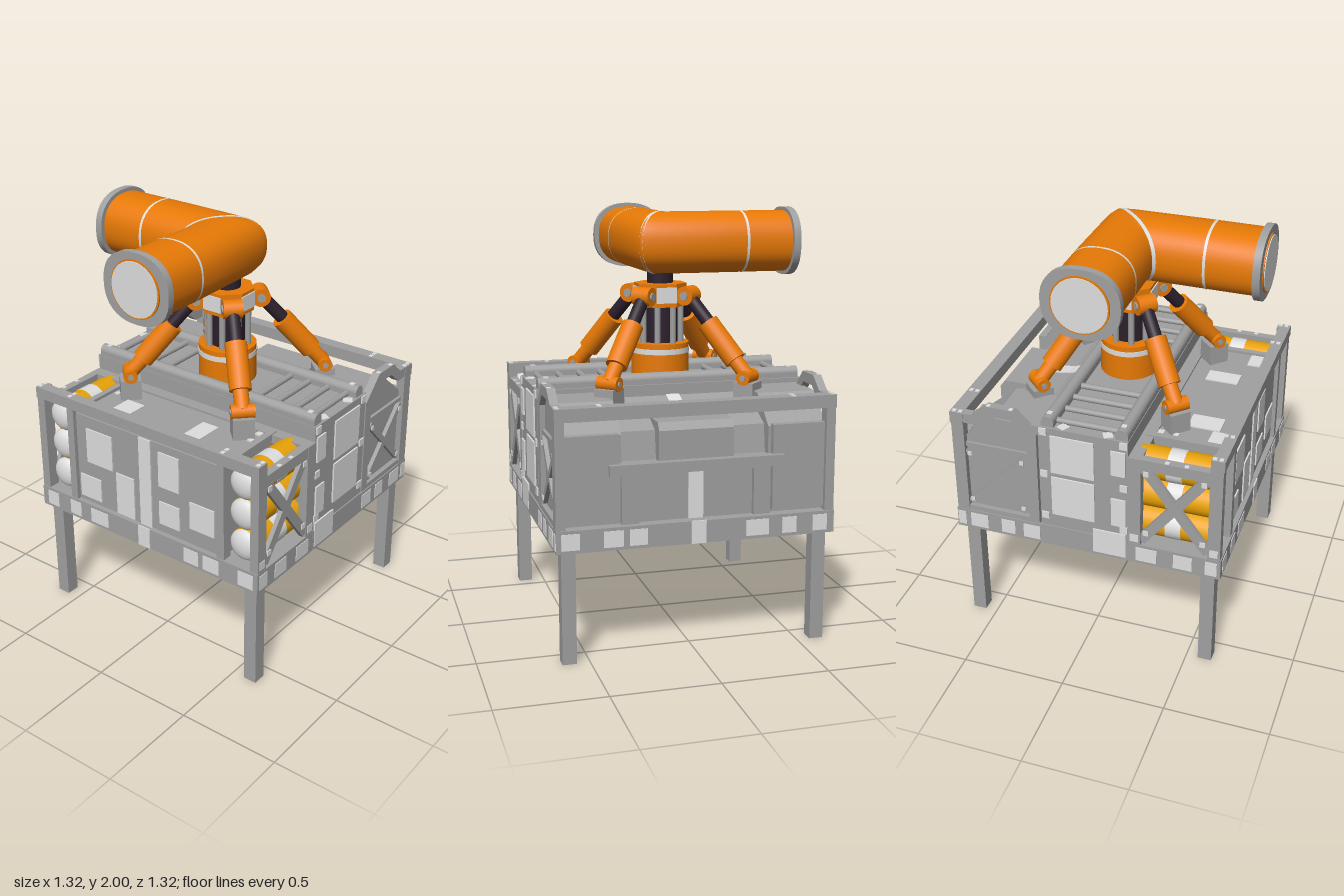
import * as THREE from 'three';
import { toCreasedNormals } from 'three/addons/utils/BufferGeometryUtils.js';

const paint = (name, color) => Object.assign(new THREE.MeshStandardMaterial({ color }), { name });
const grey = paint('steel grey', 0xa0a0a0), light = paint('light panel grey', 0xdedede);
const orange = paint('orange', 0xe87a06), gold = paint('gold', 0xe8a208);
const dark = paint('dark piston', 0x2c202c);
const V = (x, y, z) => new THREE.Vector3(x, y, z);

export function createModel() {
  const root = new THREE.Group();
  root.name = 'platform';
  const put = (name, geo, mat, parent = root) => {
    const m = new THREE.Mesh(geo, mat);
    m.name = name;
    parent.add(m);
    return m;
  };
  // box from its limits
  const box = (name, mat, x0, x1, y0, y1, z0, z1, parent) => {
    const m = put(name, new THREE.BoxGeometry(x1 - x0, y1 - y0, z1 - z0), mat, parent);
    m.position.set((x0 + x1) / 2, (y0 + y1) / 2, (z0 + z1) / 2);
    return m;
  };
  // the same box at front and back
  const pair = (name, mat, x0, x1, y0, y1, z0, z1) => {
    box(name, mat, x0, x1, y0, y1, z0, z1);
    box(name, mat, x0, x1, y0, y1, -z1, -z0);
  };
  const aim = (m, a, b) => {
    m.position.copy(a).add(b).multiplyScalar(0.5);
    m.quaternion.setFromUnitVectors(V(0, 1, 0), b.clone().sub(a).normalize());
    return m;
  };
  const rod = (name, mat, a, b, r, n = 20) => aim(put(name, new THREE.CylinderGeometry(r, r, a.distanceTo(b), n), mat), a, b);
  const bar = (name, mat, a, b, w, d) => aim(put(name, new THREE.BoxGeometry(w, a.distanceTo(b), d), mat), a, b);
  // profile in x,y extruded along z
  const prism = (name, mat, pts, z0, z1) => {
    const s = new THREE.Shape(pts.map(p => new THREE.Vector2(...p)));
    put(name, new THREE.ExtrudeGeometry(s, { depth: z1 - z0, bevelEnabled: false }), mat).position.z = z0;
  };

  // legs and base frame
  for (const x of [-0.59, 0.59]) for (const z of [-0.595, 0.595])
    box('leg', grey, x - 0.033, x + 0.033, 0, 0.6, z - 0.033, z + 0.033);
  pair('baseBeam', grey, -0.655, 0.655, 0.53, 0.635, 0.565, 0.655);
  for (const s of [-1, 1]) {
    box('baseSideBeam', grey, s * 0.61 - 0.045, s * 0.61 + 0.045, 0.53, 0.635, -0.565, 0.565);
    box('baseStripe', light, s * 0.656 - 0.003, s * 0.656 + 0.003, 0.53, 0.637, -0.035, 0.035);
  }
  box('floor', grey, -0.57, 0.57, 0.61, 0.63, -0.57, 0.57);
  box('floorBeam', grey, -0.04, 0.04, 0.545, 0.615, -0.57, 0.57);
  box('floorBeam', grey, -0.57, 0.57, 0.545, 0.615, -0.04, 0.04);
  // four dished panels underneath, each in a raised frame
  for (const x of [-0.29, 0.29]) for (const z of [-0.29, 0.29]) {
    const dish = new THREE.PlaneGeometry(0.44, 0.44, 10, 10).rotateX(Math.PI / 2), p = dish.attributes.position;
    for (let i = 0; i < p.count; i++)
      p.setY(i, 0.04 * Math.cos(p.getX(i) * Math.PI / 0.44) * Math.cos(p.getZ(i) * Math.PI / 0.44));
    dish.computeVertexNormals();
    put('floorPanel', dish, light).position.set(x, 0.567, z);
    for (const s of [-1, 1]) {
      box('panelFrame', grey, x - 0.235, x + 0.235, 0.56, 0.612, z + s * 0.225 - 0.01, z + s * 0.225 + 0.01);
      box('panelFrame', grey, x + s * 0.225 - 0.01, x + s * 0.225 + 0.01, 0.56, 0.612, z - 0.235, z + 0.235);
    }
  }
  for (const [p, h] of [[-0.61, 0.028], [-0.475, 0.045], [-0.3, 0.05], [0.27, 0.042], [0.39, 0.035], [0.54, 0.045], [0.63, 0.02]])
    pair('baseMark', light, p - h, p + h, 0.545, 0.62, 0.652, 0.658);
  for (const [p, h] of [[0.59, 0.042], [0.395, 0.045], [0.28, 0.042], [-0.28, 0.055], [-0.435, 0.035], [-0.585, 0.035]])
    for (const s of [-1, 1]) box('baseMark', light, s * 0.655 - 0.003, s * 0.655 + 0.003, 0.545, 0.62, p - h, p + h);

  // central spine with panels, rails and ladders
  box('spine', grey, -0.21, 0.22, 0.55, 1.185, -0.65, 0.65);
  pair('spineFoot', grey, -0.21, 0.22, 0.535, 0.64, 0.64, 0.656);
  const panels = [[-0.2, -0.13, 1.0, 1.13], [-0.05, 0.16, 0.95, 1.15], [-0.05, 0.16, 0.715, 0.925],
    [-0.2, -0.13, 0.72, 0.87], [-0.2, -0.04, 0.545, 0.675]];
  for (const [a, b, c, d] of panels) pair('spinePanel', light, a, b, c, d, 0.651, 0.659);
  for (const x of [-0.19, 0.195]) for (const y of [0.7, 0.935, 1.165])
    pair('spineStud', light, x - 0.018, x + 0.018, y - 0.018, y + 0.018, 0.651, 0.658);
  for (const x of [-0.177, 0.177]) {
    rod('deckRail', grey, V(x, 1.207, -0.64), V(x, 1.207, 0.64), 0.03);
    box('deckRailBase', grey, x - 0.03, x + 0.03, 1.18, 1.205, -0.64, 0.64);
    for (const z of [-0.6, 0.6]) {
      box('railMark', light, x - 0.012, x + 0.012, 1.234, 1.239, z - 0.012, z + 0.012);
      const mark = box('spineTopMark', light, -0.022, 0.022, 1.183, 1.189, -0.022, 0.022);
      mark.position.set(x * 0.6, 1.186, z * 1.035);
      mark.rotation.y = x * z > 0 ? 0.5 : -0.5;
    }
  }
  for (const z of [0.27, 0.375, 0.48, 0.585]) for (const s of [-1, 1])
    rod('ladderRung', grey, V(-0.15, 1.195, s * z), V(0.15, 1.195, s * z), 0.015, 10);

  // right side: deck block, wall panels and tank bays
  box('rightDeck', grey, -0.63, -0.2, 0.6, 1.1, -0.44, 0.44);
  pair('bayDivider', grey, -0.6, -0.23, 1.08, 1.115, 0.425, 0.455);
  box('deckEdge', grey, -0.27, -0.2, 1.07, 1.11, -0.64, 0.64);
  box('wallStripe', light, -0.637, -0.629, 0.63, 1.1, -0.035, 0.035);
  for (const [z0, z1, y0, y1] of [[0.08, 0.2, 0.88, 1.06], [0.08, 0.2, 0.68, 0.8], [0.26, 0.4, 0.72, 0.86],
    [-0.18, -0.07, 0.64, 0.86], [-0.36, -0.2, 0.86, 1.04], [-0.41, -0.28, 0.66, 0.78]])
    box('wallPanel', light, -0.637, -0.629, y0, y1, z0, z1);
  for (const [x0, x1, z0, z1] of [[-0.59, -0.51, 0.32, 0.42], [-0.59, -0.51, -0.42, -0.32],
    [-0.54, -0.385, -0.31, -0.205], [-0.51, -0.35, 0.12, 0.21], [-0.37, -0.345, -0.41, -0.385], [-0.37, -0.345, 0.385, 0.41],
    [-0.3, -0.27, -0.41, -0.38], [-0.3, -0.27, 0.38, 0.41]])
    box('deckPanel', light, x0, x1, 1.1, 1.106, z0, z1);
  box('rightTopRail', grey, -0.655, -0.6, 1.125, 1.18, -0.655, 0.655);
  for (const s of [-1, 1]) {
    for (const y of [0.72, 0.88, 1.035]) {
      rod('tank', gold, V(-0.59, y, s * 0.54), V(-0.24, y, s * 0.54), 0.077, 28);
      rod('tankBand', light, V(-0.45, y, s * 0.54), V(-0.375, y, s * 0.54), 0.079, 28);
      const cap = put('tankCap', new THREE.SphereGeometry(0.077, 20, 12), light);
      cap.position.set(-0.59, y, s * 0.54);
      cap.scale.x = 0.5;
    }
    for (const [a, b] of [[-0.65, -0.59], [-0.27, -0.21]])
      box('bayPost', grey, a, b, 0.62, a < -0.5 ? 1.18 : 1.11, s * 0.632 - 0.022, s * 0.632 + 0.022);
    box('bayPost', grey, -0.65, -0.6, 0.62, 1.13, s * 0.445 - 0.02, s * 0.445 + 0.02);
    box('bayTopBar', grey, -0.65, -0.21, 1.055, 1.11, s * 0.632 - 0.02, s * 0.632 + 0.02);
    for (const d of [-1, 1]) {
      const z = s * 0.64;
      bar('bayBrace', grey, V(-0.43 - d * 0.16, 0.66, z), V(-0.43 + d * 0.16, 1.08, z), 0.048, 0.022);
      for (const y of [0.695, 1.025]) box('bayStud', light, -0.43 + d * 0.135 - 0.013, -0.43 + d * 0.135 + 0.013, y, y + 0.026, s * 0.653 - 0.003, s * 0.653 + 0.003);
      box('bayMark', light, -0.43 + d * 0.19 - 0.02, -0.43 + d * 0.19 + 0.02, 0.65, 0.69, s * 0.654 - 0.003, s * 0.654 + 0.003);
    }
  }

  // left side: sloped centre, corner lockers, bumper and guard rails
  prism('leftDeck', grey, [[0.2, 0.6], [0.6, 0.6], [0.6, 0.91], [0.56, 0.91], [0.54, 1.04], [0.45, 1.08], [0.3, 1.1], [0.2, 1.14]], -0.35, 0.35);
  prism('leftHatch', grey, [[0.44, 0.91], [0.615, 0.91], [0.615, 1.05], [0.59, 1.085], [0.44, 1.085]], -0.175, 0.175);
  box('leftBumper', grey, 0.605, 0.655, 0.865, 0.915, -0.41, 0.41);
  box('leftStripe', light, 0.599, 0.606, 0.63, 0.865, -0.035, 0.035);
  bar('deckStripe', light, V(0.3, 1.103, 0), V(0.45, 1.083, 0), 0.006, 0.065);
  bar('deckStripe', light, V(0.2, 1.142, 0), V(0.3, 1.102, 0), 0.006, 0.065);
  for (const z of [-0.31, 0.31]) box('leftPanelFrame', grey, 0.59, 0.625, 0.635, 0.9, z - 0.04, z + 0.04);
  box('leftTopRail', grey, 0.59, 0.655, 1.12, 1.18, -0.655, 0.655);
  for (const s of [-1, 1]) {
    const z0 = s > 0 ? 0.345 : -0.625;
    prism('cornerLocker', grey, [[0.22, 0.62], [0.6, 0.62], [0.6, 1.04], [0.45, 1.165], [0.23, 1.165]], z0, z0 + 0.28);
    box('lockerDoor', grey, 0.59, 0.628, 0.65, 1.05, z0 + 0.015, z0 + 0.265);
    box('cornerPost', grey, 0.59, 0.65, 0.62, 1.13, s * 0.632 - 0.022, s * 0.632 + 0.022);
    box('lockerPost', grey, 0.23, 0.28, 0.64, 1.13, s * 0.632 - 0.018, s * 0.632 + 0.018);
    box('lockerSill', grey, 0.23, 0.6, 0.635, 0.66, s * 0.632 - 0.018, s * 0.632 + 0.018);
    box('lockerHeader', grey, 0.28, 0.6, 0.995, 1.015, s * 0.628 - 0.012, s * 0.628 + 0.012);
    for (const d of [-1, 1]) {
      bar('lockerBrace', grey, V(0.44 - d * 0.145, 0.68, s * 0.635), V(0.44 + d * 0.145, 0.98, s * 0.635), 0.03, 0.02);
      for (const y of [0.69, 0.95]) box('lockerStud', light, 0.43 + d * 0.13, 0.45 + d * 0.13, y, y + 0.02, s * 0.647 - 0.003, s * 0.647 + 0.003);
    }
    prism('guardHump', grey, [[0.23, 1.13], [0.3, 1.2], [0.34, 1.24], [0.47, 1.24], [0.545, 1.18], [0.65, 1.18],
      [0.65, 1.13], [0.53, 1.13], [0.455, 1.19], [0.35, 1.19], [0.29, 1.13]], s * 0.632 - 0.02, s * 0.632 + 0.02);
    for (const x of [0.35, 0.46]) box('humpStud', light, x - 0.01, x + 0.01, 1.237, 1.243, s * 0.64 - 0.01, s * 0.64 + 0.01);
    for (const x of [-0.48, -0.39]) box('barStud', light, x - 0.01, x + 0.01, 1.107, 1.113, s * 0.64 - 0.01, s * 0.64 + 0.01);
  }
  for (const x of [-0.635, -0.605, 0.605, 0.635]) for (const z of [-0.64, -0.45, 0.45, 0.64])
    box('railStud', light, x - 0.01, x + 0.01, 1.178, 1.184, z - 0.01, z + 0.01);

  // turret column
  rod('turretBase', orange, V(0, 1.18, 0), V(0, 1.36, 0), 0.14, 32);
  rod('turretBand', light, V(0, 1.31, 0), V(0, 1.335, 0), 0.143, 32);
  rod('turretCore', dark, V(0, 1.35, 0), V(0, 1.71, 0), 0.062, 24);
  rod('turretSleeve', dark, V(0, 1.35, 0), V(0, 1.56, 0), 0.085, 24);
  for (let i = 0; i < 8; i++) {
    const a = (i + 0.5) * Math.PI / 4, x = 0.1 * Math.cos(a), z = 0.1 * Math.sin(a);
    rod('columnRod', grey, V(x, 1.35, z), V(x, 1.55, z), 0.015, 10);
  }
  const collar = put('collar', new THREE.CylinderGeometry(0.128, 0.128, 0.11, 8).toNonIndexed(), orange);
  collar.geometry.computeVertexNormals();
  collar.position.y = 1.59;
  collar.rotation.y = Math.PI / 8;
  for (let i = 0; i < 4; i++) {
    const side = new THREE.Group();
    side.name = 'collarSide';
    side.rotation.y = i * Math.PI / 2;
    root.add(side);
    box('collarPanel', light, -0.05, 0.05, 1.555, 1.63, 0.117, 0.124, side);
  }

  // four stabilising struts
  for (const x of [-1, 1]) for (const z of [-1, 1]) {
    const at = (d, y) => V(x * d, y, z * d), side = V(x, 0, -z).normalize();
    const pin = (name, mat, c, r, h) => rod(name, mat, c.clone().addScaledVector(side, -h), c.clone().addScaledVector(side, h), r);
    pin('upperHinge', orange, at(0.11, 1.59), 0.045, 0.045);
    pin('upperPin', grey, at(0.11, 1.59), 0.02, 0.052);
    rod('piston', dark, at(0.11, 1.59), at(0.23, 1.4), 0.032);
    rod('strutSleeve', orange, at(0.185, 1.465), at(0.29, 1.295), 0.052);
    rod('strutEnd', orange, at(0.28, 1.31), at(0.335, 1.225), 0.036);
    pin('lowerHinge', orange, at(0.335, 1.222), 0.034, 0.055);
    pin('lowerPin', grey, at(0.335, 1.222), 0.014, 0.06);
    const foot = box('strutFoot', grey, -0.05, 0.05, 1.06, 1.2, -0.05, 0.05);
    foot.position.set(x * 0.335, 1.13, z * 0.335);
    foot.rotation.y = Math.PI / 4;
  }

  // mitred elbow tube, built from rings running from one end to the other
  const Y = 1.835, N = 40;
  const pow = c => Math.sign(c) * Math.abs(c) ** 0.85;
  const ring = (hx, hy) => Array.from({ length: N }, (_, i) => {
    const a = i / N * Math.PI * 2;
    return [hx * pow(Math.cos(a)), hy * pow(Math.sin(a))];
  });
  const skin = (name, mat, sections, grow = 1) => {
    const pos = [], idx = [], pts = ring(0.16 * grow, 0.148 * grow);
    sections.forEach((f, i) => pts.forEach(([u, v], j) => {
      const [x, z] = f(u);
      pos.push(x, Y + v, z);
      if (i === sections.length - 1) return;
      const a = i * N + j, b = i * N + (j + 1) % N;
      idx.push(a, a + N, b, b, a + N, b + N);
    }));
    const g = new THREE.BufferGeometry();
    g.setAttribute('position', new THREE.Float32BufferAttribute(pos, 3));
    g.setIndex(idx);
    put(name, toCreasedNormals(g, 0.6), mat);
  };
  const k = u => (u > 0 ? 0.82 * u : u);
  const alongX = x => u => [x, u], alongZ = z => u => [u, z];
  const nearX = u => [k(u) - 0.06, u > 0 ? u * 0.94 : u], nearZ = u => nearX(u).reverse();
  skin('elbowTube', orange, [alongX(-0.63), alongX(-0.3), nearX, u => [k(u), k(u)], nearZ, alongZ(-0.3), alongZ(-0.63)]);
  skin('tubeBand', light, [alongX(-0.402), alongX(-0.389)], 1.015);
  skin('tubeBand', light, [alongZ(-0.389), alongZ(-0.402)], 1.015);
  skin('mitreBand', light, [u => [k(u) - 0.013, k(u)], u => [k(u), k(u) - 0.013]], 1.025);

  // end flanges
  for (const turn of [Math.PI, -Math.PI / 2]) {
    const end = new THREE.Group();
    end.name = 'tubeEnd';
    end.position.y = Y;
    end.rotation.y = turn;
    root.add(end);
    const outline = new THREE.Shape(ring(0.182, 0.165).map(p => new THREE.Vector2(...p)));
    const flange = new THREE.ExtrudeGeometry(outline, { depth: 0.035, bevelEnabled: false });
    put('flange', toCreasedNormals(flange, 0.6), grey, end).position.z = 0.62;
    [['capRim', orange, 0.135, 0.656], ['cap', light, 0.128, 0.66]].forEach(([name, mat, r, z]) => {
      const m = put(name, new THREE.CylinderGeometry(r, r, 0.01, 36), mat, end);
      m.rotation.x = Math.PI / 2;
      m.position.z = z;
    });
  }
  return root;
}
